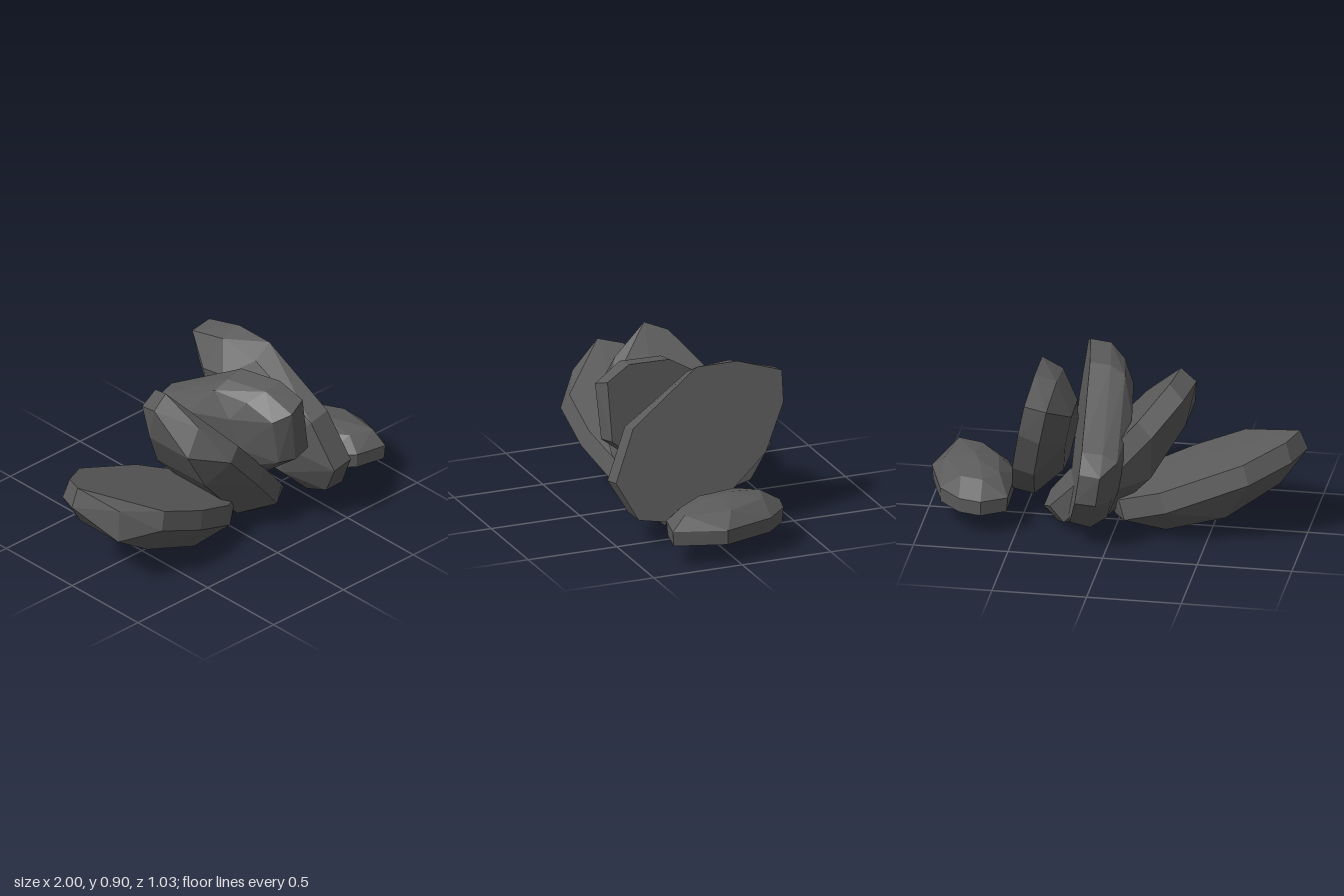
import * as THREE from 'three';
import { ConvexGeometry } from 'three/addons/geometries/ConvexGeometry.js';

const material = new THREE.MeshStandardMaterial({ color: 0x5c5c5c, flatShading: true });

// A faceted stone: the hull of flat outlines [u, v] stacked at heights t.
function stone(name, layers, position, tilt = 0, yaw = 0) {
  const points = [];
  for (const { t, outline } of layers) {
    for (const [u, v] of outline) points.push(new THREE.Vector3(u, t, v));
  }
  const mesh = new THREE.Mesh(new ConvexGeometry(points), material);
  mesh.name = name;
  mesh.position.set(...position);
  mesh.rotation.set(0, yaw, THREE.MathUtils.degToRad(tilt), 'YXZ');
  return mesh;
}

// Long slab with a pointed tip, used twice
const longSlab = [
  { t: 0, outline: [[0, 0], [1.08, 0.14], [1.08, -0.07], [1.0, -0.2], [0.75, -0.29], [0.28, -0.26], [0.06, -0.12]] },
  { t: -0.012, outline: [[0.37, 0.3], [0.66, 0.3], [0.93, 0.24]] },
  { t: -0.055, outline: [[0.15, 0.19]] },
  { t: -0.11, outline: [[0, 0], [0.36, 0.33], [0.66, 0.33], [0.95, 0.27], [1.09, 0.15],
    [1.09, -0.07], [1.01, -0.22], [0.76, -0.31], [0.29, -0.28], [0.07, -0.14]] },
  { t: -0.22, outline: [[0.19, 0.21], [0.19, -0.08]] },
  { t: -0.27, outline: [[0.45, 0.2], [0.84, 0.17], [0.86, -0.1], [0.5, -0.2]] },
];

// Broad upright slab with a wide flat face
const broadSlab = [
  { t: 0, outline: [[0, 0.01], [0, -0.22], [0.08, -0.465], [0.25, -0.46], [0.5, -0.34], [0.61, -0.19],
    [0.76, -0.03], [0.8, 0.2], [0.76, 0.4], [0.55, 0.51], [0.275, 0.39]] },
  { t: -0.12, outline: [[0.04, 0.02], [0.01, -0.22], [0.08, -0.47], [0.27, -0.46], [0.5, -0.36],
    [0.76, -0.03], [0.8, 0.25], [0.73, 0.41], [0.55, 0.51], [0.28, 0.39]] },
  { t: -0.24, outline: [[0.13, -0.12], [0.16, -0.28], [0.33, -0.27], [0.6, 0], [0.62, 0.22], [0.42, 0.25]] },
];

// Thick block standing between the slabs
const thickBlock = [
  { t: 0, outline: [[0.01, 0.31], [0.03, 0.06], [0.33, -0.43], [0.43, -0.5], [0.59, -0.51],
    [0.76, -0.37], [0.79, -0.19], [0.7, 0.1], [0.4, 0.45], [0.08, 0.45]] },
  { t: -0.11, outline: [[0.01, 0.3], [0.03, 0.05], [0.33, -0.43], [0.43, -0.51], [0.59, -0.51],
    [0.77, -0.38], [0.78, -0.19], [0.68, 0.1], [0.4, 0.45], [0.1, 0.46]] },
  { t: -0.19, outline: [[0.06, 0.23], [0.06, 0.02], [0.36, -0.44], [0.58, -0.44], [0.71, -0.36],
    [0.73, -0.18], [0.39, 0.4], [0.13, 0.39]] },
  { t: -0.25, outline: [[0.16, 0.15], [0.22, -0.12], [0.42, -0.26], [0.56, -0.22], [0.54, 0.03], [0.34, 0.2]] },
];

// Low flat-bottomed stone
const rim = [[0.54, -0.27], [0.67, -0.35], [0.79, -0.32], [0.91, -0.2], [1, 0.08], [0.91, 0.355],
  [0.74, 0.32], [0.62, 0.21], [0.55, 0.05]];
const lowStone = [
  { t: 0.125, outline: rim.map(([x, z]) => [0.77 + (x - 0.77) * 0.97, z * 0.98]) },
  { t: 0.205, outline: rim },
  { t: 0.28, outline: [[0.61, -0.12], [0.68, -0.23], [0.8, -0.2], [0.92, 0.03], [0.89, 0.28], [0.76, 0.24], [0.65, 0.1]] },
  { t: 0.312, outline: [[0.73, -0.05], [0.76, 0.03]] },
];

export function createModel() {
  const group = new THREE.Group();
  group.name = 'rockCluster';
  group.add(
    stone('reclinedSlab', longSlab, [-0.96, 0.585, 0], -22.3),
    stone('leaningSlab', longSlab, [-0.33, 0.895, 0], -48.7),
    stone('thickBlock', thickBlock, [0.146, 0.895, 0], -81.5, 0.17),
    stone('broadSlab', broadSlab, [0.405, 0.9, 0], -78.5),
    stone('lowStone', lowStone, [0, 0, 0]),
  );
  return group;
}
